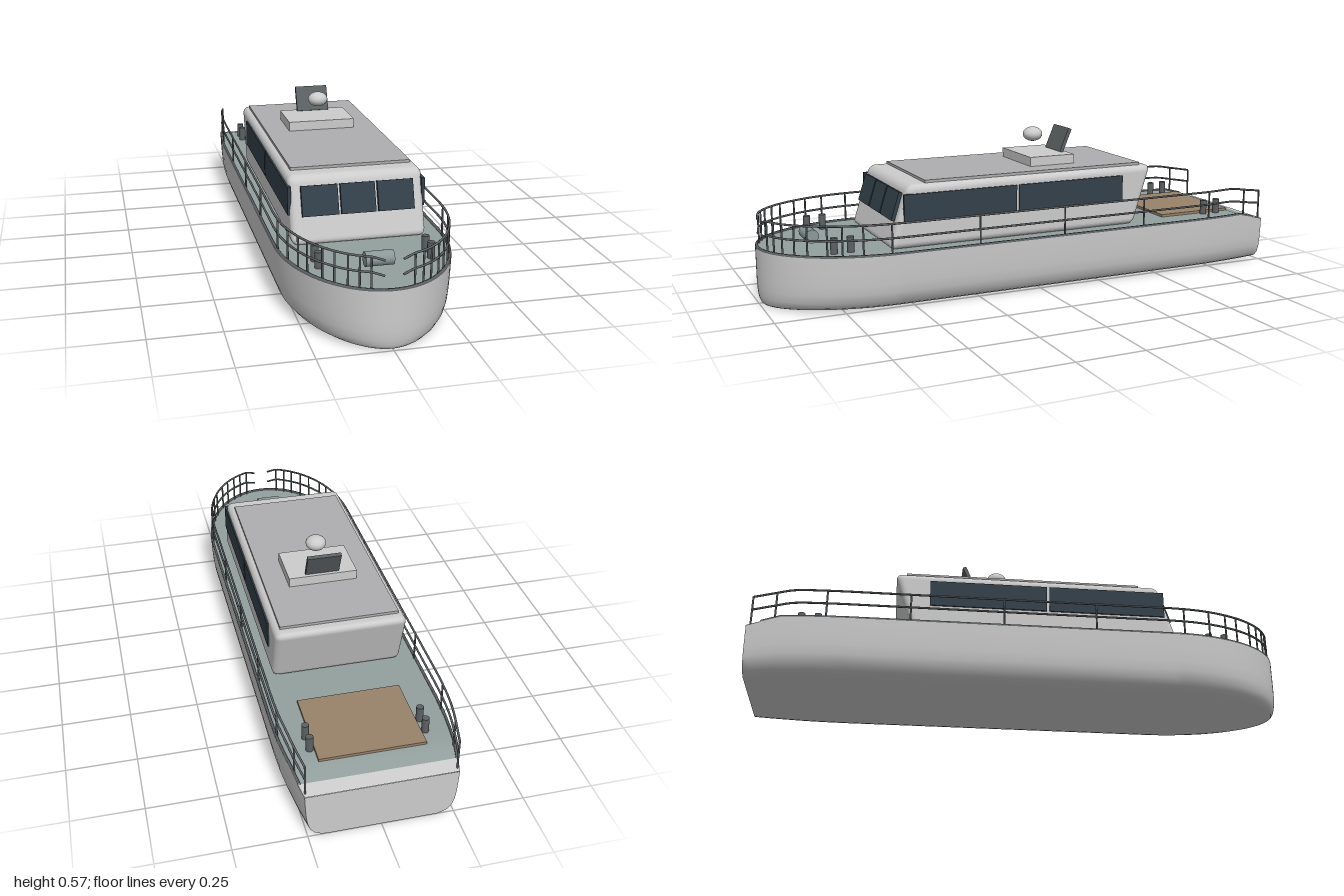
import * as THREE from 'three';
import { RoundedBoxGeometry } from 'three/addons/geometries/RoundedBoxGeometry.js';

const mat = (color) => new THREE.MeshStandardMaterial({ color, side: THREE.DoubleSide });
const GREY = mat(0xcccccc), ROOF = mat(0xaeaeb0), DECK = mat(0x93a09e), GLASS = mat(0x33404a);
const DARK = mat(0x5c6163), WOOD = mat(0x98826a), STEEL = mat(0x8b9899);

// Surface through rows of points
function loft(rows) {
  const n = rows[0].length, index = [];
  for (let r = 0; r < rows.length - 1; r++) {
    for (let c = 0; c < n - 1; c++) {
      const a = r * n + c, b = a + 1, d = a + n, e = d + 1;
      index.push(a, d, e, a, e, b);
    }
  }
  const g = new THREE.BufferGeometry();
  g.setAttribute('position', new THREE.Float32BufferAttribute(rows.flat(2), 3));
  g.setIndex(index);
  g.computeVertexNormals();
  return g;
}

// Half plan of the boat: parallel middle, elliptical bow, slightly tapered stern
const half = (z) => z > 0.55 ? 0.3 * Math.sqrt(Math.max(0, 1 - ((z - 0.55) / 0.45) ** 2))
  : z < -0.65 ? 0.3 - 0.04 * ((-z - 0.65) / 0.35) ** 2 : 0.3;
const bowZ = (x) => 0.55 + 0.45 * Math.sqrt(1 - (x / 0.3) ** 2);
const sheer = (z) => z < -0.88 ? 1 - (-0.88 - z) * 1.2 : 1;
const stations = [-1, -0.975, -0.95, -0.92, -0.88, -0.82, -0.75, -0.65, -0.3, 0.1];
for (let i = 0; i <= 24; i++) stations.push(0.55 + 0.45 * Math.sin((i / 24) * Math.PI / 2));

export function createModel() {
  const model = new THREE.Group();
  const add = (name, geometry, material, x = 0, y = 0, z = 0, parent = model) => {
    const m = new THREE.Mesh(geometry, material);
    m.name = name;
    m.position.set(x, y, z);
    parent.add(m);
    return m;
  };
  const box = (name, w, h, d, material, x, y, z) =>
    add(name, new THREE.BoxGeometry(w, h, d), material, x, y, z);

  // Hull levels: height, width scale, bow length scale
  const ring = ([y, sx, sz]) => {
    const side = stations.map((z) => [half(z) * sx, y * sheer(z), z > 0 ? z * sz : z]);
    return [...side, ...side.slice(0, -1).reverse().map(([x, h, z]) => [-x, h, z])];
  };
  const levels = [[0, 0.73, 0.985], [0.005, 0.8, 0.99], [0.015, 0.87, 0.994], [0.035, 0.93, 0.998],
    [0.065, 0.963, 1], [0.1, 0.98, 1], [0.15, 0.992, 1], [0.203, 1, 1]].map(ring);
  const across = (row, from, to) => {
    const pick = row.slice(from, to);
    return [pick.map(([x, y, z]) => [-x, y, z]), pick];
  };
  const n = stations.length;
  add('hull', loft(levels), GREY);
  add('hullBottom', loft(across(levels[0], 0, n)), GREY);
  add('transom', loft(levels.map((r) => [r[r.length - 1], r[0]])), GREY);

  // Deck with a low toe rail and a sloping stern step
  const deckRing = ring([0.204, 0.97, 0.991]);
  add('deck', loft(across(deckRing, 2, n)), DECK);
  add('sternStep', loft(across(ring([0.204, 1, 1]), 0, 3)), GREY);
  add('toeRail', loft([[0.203, 1, 1], [0.21, 0.998, 0.999], [0.21, 0.97, 0.991], [0.203, 0.97, 0.991]]
    .map((l) => ring(l).slice(2, -2))), DARK);

  // Cabin leaning backwards
  const lean = 0.32;
  const cabin = new RoundedBoxGeometry(0.475, 0.228, 0.992, 4, 0.024);
  const p = cabin.attributes.position;
  for (let i = 0; i < p.count; i++) p.setZ(i, p.getZ(i) - p.getY(i) * lean);
  cabin.computeVertexNormals();
  add('cabin', cabin, GREY, 0, 0.317, 0.049);

  // Windscreen panes, parallel to the sloping front
  for (const [x, w] of [[-0.134, 0.128], [0, 0.122], [0.134, 0.128]]) {
    const pane = box('windscreenPane', w, 0.105, 0.016, GLASS, x, 0.35, 0.54);
    pane.rotation.x = -Math.atan(lean);
  }
  for (const s of [-1, 1]) {
    box('sideWindow', 0.012, 0.1, 0.435, GLASS, s * 0.237, 0.35, 0.311);
    box('sideWindow', 0.012, 0.1, 0.435, GLASS, s * 0.237, 0.35, -0.134);
  }

  // Roof equipment
  box('roofPlate', 0.43, 0.016, 0.88, ROOF, 0, 0.433, 0);
  box('equipmentBase', 0.255, 0.036, 0.185, GREY, 0, 0.458, -0.108);
  const panel = box('antennaPanel', 0.126, 0.098, 0.014, DARK, 0, 0.52, -0.198);
  panel.rotation.x = -0.4;
  add('radarDome', new THREE.SphereGeometry(0.038, 24, 16), GREY, 0, 0.545, -0.085).scale.y = 0.73;

  // Deck fittings
  box('aftHatch', 0.37, 0.012, 0.31, WOOD, 0, 0.208, -0.725);
  const bollard = new THREE.CylinderGeometry(0.013, 0.013, 0.056, 16);
  for (const s of [-1, 1]) {
    for (const [x, z] of [[0.19, 0.71], [0.19, 0.77], [0.2, -0.755], [0.2, -0.815]]) {
      add('bollard', bollard, DARK, s * x, 0.232, z);
    }
  }
  add('windlass', new THREE.CylinderGeometry(0.025, 0.025, 0.096, 20), STEEL, 0, 0.236, 0.81)
    .rotation.z = Math.PI / 2;

  // Guard rails, open at the bow and the stern
  const INSET = 0.97;
  const drop = (z) => z < -0.84 ? (-0.84 - z) * 0.16 : 0;
  const postSpots = [];
  for (const z of [-0.985, -0.9, -0.72, -0.42, -0.08, 0.26, 0.59]) postSpots.push([half(z) * INSET, z]);
  for (const x of [0.275, 0.255, 0.235, 0.2, 0.17, 0.135, 0.103, 0.07]) {
    postSpots.push([x, bowZ(x / INSET) * 0.988]);
  }
  const railPath = (y) => {
    const pts = [];
    for (const z of [-0.985, -0.9, -0.84, -0.72, -0.5, 0, 0.4, 0.55]) {
      pts.push(new THREE.Vector3(half(z) * INSET, y - drop(z), z));
    }
    for (const x of [0.284, 0.27, 0.25, 0.22, 0.18, 0.14, 0.1, 0.07, 0.03]) {
      pts.push(new THREE.Vector3(x, x < 0.05 ? y - 0.012 : y, bowZ(x / INSET) * 0.988));
    }
    return new THREE.CatmullRomCurve3(pts, false, 'centripetal');
  };
  for (const s of [-1, 1]) {
    const rail = new THREE.Group();
    rail.name = s > 0 ? 'leftGuardRail' : 'rightGuardRail';
    rail.scale.x = s;
    model.add(rail);
    for (const [name, y] of [['topRail', 0.313], ['middleRail', 0.262]]) {
      add(name, new THREE.TubeGeometry(railPath(y), 120, 0.004, 8), DARK, 0, 0, 0, rail);
    }
    for (const [x, z] of postSpots) {
      const top = 0.313 - drop(z), foot = 0.2 * sheer(z);
      add('railPost', new THREE.CylinderGeometry(0.0035, 0.0035, top - foot, 8), DARK,
        x, (top + foot) / 2, z, rail);
    }
  }
  return model;
}
